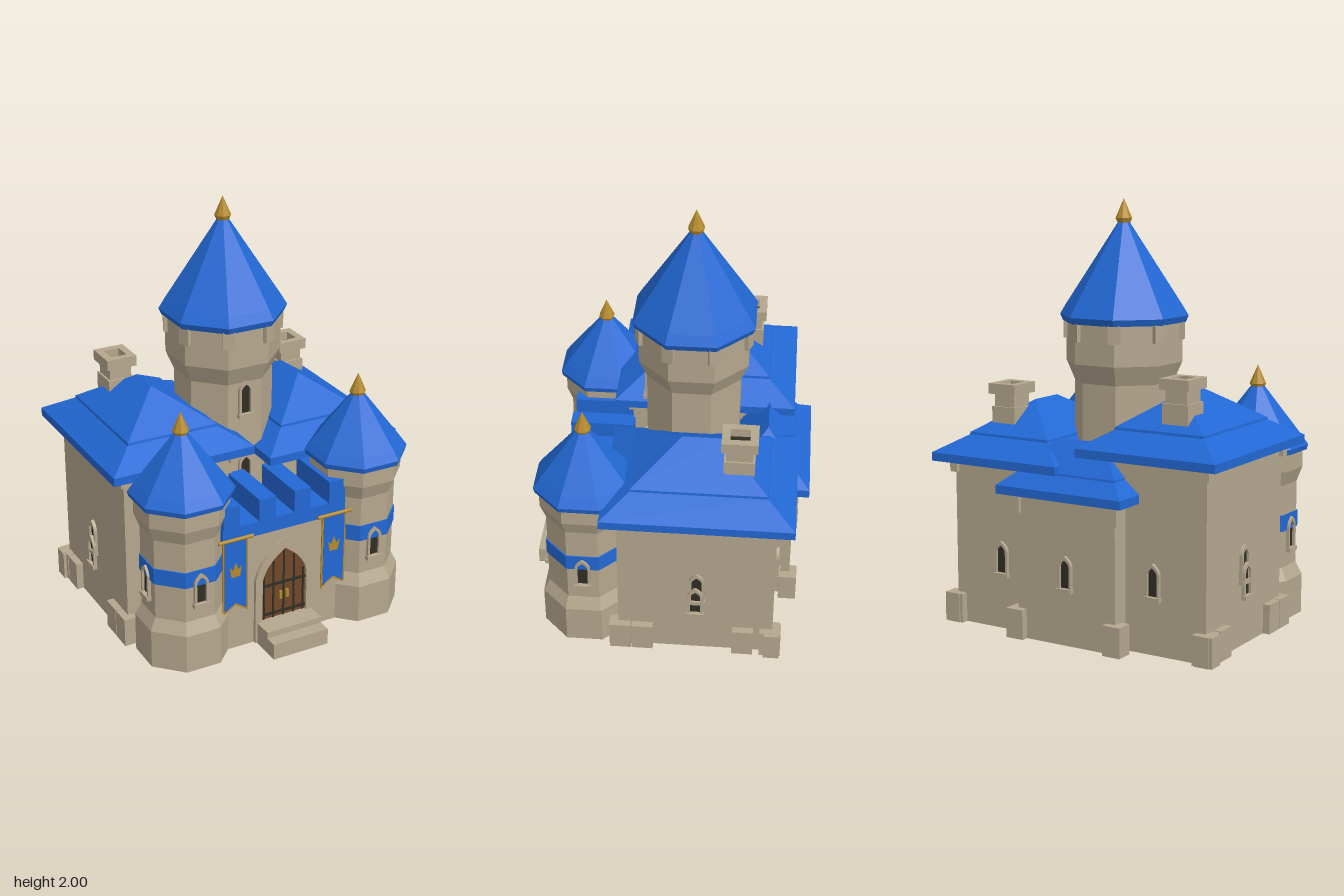
import * as THREE from 'three';

const mat = (name, color) => {
  const m = new THREE.MeshStandardMaterial({ color });
  m.name = name;
  return m;
};

export function createModel() {
  const root = new THREE.Group();
  root.name = 'castle';
  const stone = mat('stone', 0xb5a78e), blue = mat('blueRoof', 0x2268d4), wood = mat('wood', 0x70482a),
    dark = mat('darkOpening', 0x302e24), gold = mat('gold', 0xb58a2c);

  const add = (name, geo, m, parent = root) => {
    const mesh = new THREE.Mesh(geo, m);
    mesh.name = name;
    parent.add(mesh);
    return mesh;
  };
  const flat = (g) => {
    const f = g.index ? g.toNonIndexed() : g;
    f.computeVertexNormals();
    return f;
  };
  // box given by its limits
  const box = (name, x0, x1, y0, y1, z0, z1, m = stone, parent = root) =>
    add(name, new THREE.BoxGeometry(x1 - x0, y1 - y0, z1 - z0)
      .translate((x0 + x1) / 2, (y0 + y1) / 2, (z0 + z1) / 2), m, parent);
  // octagonal solid with flat sides facing the axes; profile is [apothem, y] from the bottom up
  const octagon = (name, profile, x, z, m) => {
    const k = 1 / Math.cos(Math.PI / 8);
    const pts = profile.map(([r, y]) => new THREE.Vector2(r * k, y));
    return add(name, flat(new THREE.LatheGeometry(pts, 8, Math.PI / 8)).translate(x, 0, z), m);
  };
  // hipped roof from rectangles inset step by step; steps are [inset, y]
  const hipRoof = (name, x0, x1, z0, z1, steps) => {
    const pos = [];
    const rings = steps.map(([i, y]) => [
      [x0 + i, y, z1 - i], [x1 - i, y, z1 - i], [x1 - i, y, z0 + i], [x0 + i, y, z0 + i]]);
    const quad = (a, b, c, d) => pos.push(...a, ...b, ...c, ...a, ...c, ...d);
    for (let r = 0; r + 1 < rings.length; r++)
      for (let s = 0; s < 4; s++) {
        const t = (s + 1) % 4;
        quad(rings[r][s], rings[r][t], rings[r + 1][t], rings[r + 1][s]);
      }
    const [a, b, c, d] = rings[0];
    quad(d, c, b, a);
    const g = new THREE.BufferGeometry();
    g.setAttribute('position', new THREE.Float32BufferAttribute(pos, 3));
    g.computeVertexNormals();
    return add(name, g, blue);
  };
  // pointed arch outline, half width w, from y0 to the tip y1
  const arch = (w, y0, y1, Kind = THREE.Shape) => {
    const spring = y1 - w * 1.25, s = new Kind();
    s.moveTo(-w, y0);
    s.lineTo(w, y0);
    s.lineTo(w, spring);
    s.quadraticCurveTo(w * 0.85, spring + w * 0.7, 0, y1);
    s.quadraticCurveTo(-w * 0.85, spring + w * 0.7, -w, spring);
    s.closePath();
    return s;
  };
  const extrude = (shape, depth, z = 0) =>
    new THREE.ExtrudeGeometry(shape, { depth, bevelEnabled: false, curveSegments: 5 }).translate(0, 0, z);

  const windowAt = (x, y, z, turn = 0, h = 0.17) => {
    const g = new THREE.Group();
    g.name = 'window';
    const frame = arch(0.036, 0, h);
    frame.holes.push(arch(0.024, 0.02, h - 0.018, THREE.Path));
    add('windowFrame', extrude(frame, 0.016), stone, g);
    add('windowPane', extrude(arch(0.024, 0.02, h - 0.018), 0.004), dark, g);
    box('windowSill', -0.04, 0.04, 0, 0.02, 0, 0.024, stone, g);
    g.position.set(x, y, z);
    g.rotation.y = turn;
    root.add(g);
  };
  const finial = (x, y, z) => octagon('finial',
    [[0, y], [0.028, y], [0.036, y + 0.02], [0.018, y + 0.065], [0, y + 0.11]], x, z, gold);

  // wings
  for (const w of [
    { s: -1, x0: -0.67, x1: -0.115, z0: -0.51, z1: 0.2, top: 0.87, half: 0.355, rise: 0.28, rx: [-0.75, -0.04], rz: [-0.585, 0.28] },
    { s: 1, x0: 0.125, x1: 0.67, z0: -0.53, z1: 0.2, top: 0.78, half: 0.35, rise: 0.275, rx: [0.05, 0.75], rz: [-0.61, 0.27] }]) {
    box('wingWall', w.x0, w.x1, 0, w.top + 0.02, w.z0, w.z1);
    const t = w.top;
    hipRoof('wingRoof', ...w.rx, ...w.rz,
      [[0, t], [0, t + 0.04], [0.128, t + 0.118], [0.13, t + 0.13], [w.half, t + w.rise]]);
    // corner brackets under the eaves
    for (const z of [w.z0, w.z1])
      for (const x of [w.x0, w.x1])
        box('eaveBracket', x - 0.02, x + 0.02, t - 0.055, t, z - 0.02, z + 0.02);
    // foundation blocks
    const ex = w.s * 0.67;
    for (const z of [0.19, 0.085, -0.39, w.z0 + 0.01])
      box('foundationBlock', ex - 0.035, ex + 0.035, 0, 0.14, z - 0.05, z + 0.05);
    box('backCornerBlock', ex - 0.05, ex + 0.05, 0, 0.139, w.z0 - 0.035, w.z0 + 0.04);
    // side windows, one overlapping the other, and a back window
    windowAt(ex, 0.29, -0.17, w.s * Math.PI / 2, 0.18);
    windowAt(ex + w.s * 0.01, 0.22, -0.165, w.s * Math.PI / 2, 0.17);
    windowAt(w.s * 0.405, 0.25, w.z0, Math.PI);
    // chimney
    const cx = w.s < 0 ? -0.455 : 0.475, cz = -0.345, cy = t + 0.36;
    box('chimneyShaft', cx - 0.055, cx + 0.055, t + 0.1, cy - 0.045, cz - 0.06, cz + 0.06);
    box('chimneyBase', cx - 0.065, cx + 0.065, t + 0.1, t + 0.25, cz - 0.07, cz + 0.07);
    const sq = (K, a, b) => new K([[-a, -b], [a, -b], [a, b], [-a, b]].map((p) => new THREE.Vector2(...p)));
    const cap = sq(THREE.Shape, 0.075, 0.082);
    cap.holes.push(sq(THREE.Path, 0.039, 0.045));
    add('chimneyCap', extrude(cap, 0.05).rotateX(-Math.PI / 2).translate(cx, cy - 0.05, cz), stone);
    box('chimneyOpening', cx - 0.04, cx + 0.04, cy - 0.046, cy - 0.041, cz - 0.046, cz + 0.046, dark);
  }

  // rear annex
  box('annexWall', -0.26, 0.265, 0, 0.7, -0.6, -0.25);
  hipRoof('annexRoof', -0.33, 0.335, -0.67, -0.26,
    [[0, 0.68], [0, 0.72], [0.073, 0.78], [0.075, 0.79], [0.205, 0.925]]);
  for (const x of [-0.26, 0.265]) {
    box('annexBracket', x - 0.02, x + 0.02, 0.59, 0.68, -0.62, -0.56);
    box('annexBlock', x - 0.045, x + 0.045, 0, 0.14, -0.635, -0.55);
  }
  windowAt(0, 0.25, -0.6, Math.PI);

  // central tower
  const tz = -0.107;
  octagon('mainTower', [[0, 0], [0.217, 0], [0.217, 1.16], [0.253, 1.25], [0.253, 1.45], [0, 1.45]], 0, tz, stone);
  octagon('mainTowerRoof', [[0, 1.435], [0.268, 1.435], [0.28, 1.465], [0.255, 1.51], [0.014, 1.91], [0, 1.91]], 0, tz, blue);
  finial(0, 1.89, tz);
  for (let i = 0; i < 8; i++) {
    const a = (i + 0.5) * Math.PI / 4;
    const c = box('towerCorbel', -0.028, 0.028, 1.355, 1.44, 0.235, 0.282);
    c.rotation.y = a;
    c.position.z = tz;
  }
  windowAt(0, 0.985, tz + 0.217, 0, 0.185);
  windowAt(0, 0.61, tz + 0.217, 0, 0.185);

  // front towers
  for (const s of [-1, 1]) {
    const x = s * 0.46, z = 0.365;
    octagon('frontTower', [[0, 0], [0.207, 0], [0.207, 0.19], [0.178, 0.25], [0.178, 0.65],
      [0.202, 0.72], [0.202, 0.82], [0, 0.82]], x, z, stone);
    octagon('frontTowerBand', [[0.17, 0.428], [0.184, 0.428], [0.184, 0.506], [0.17, 0.506]], x, z, blue);
    octagon('frontTowerRoof', [[0, 0.805], [0.22, 0.805], [0.226, 0.83], [0.2, 0.87], [0.014, 1.13], [0, 1.13]], x, z, blue);
    finial(x, 1.1, z);
    windowAt(x, 0.32, z + 0.179);
    windowAt(x + s * 0.179, 0.32, z, s * Math.PI / 2);
  }

  // gatehouse
  box('gateWall', -0.31, 0.31, 0, 0.58, 0.19, 0.49);
  box('gateCornice', -0.325, 0.325, 0.575, 0.645, 0.19, 0.5, blue);
  for (const x of [-0.278, -0.092, 0.092, 0.278])
    box('merlon', x - 0.043, x + 0.043, 0.64, 0.755, 0.192, 0.502, blue);
  const frame = arch(0.155, 0, 0.53);
  frame.holes.push(arch(0.118, 0.1, 0.475, THREE.Path));
  add('gateArch', extrude(frame, 0.02, 0.488), stone);
  add('gateDoor', extrude(arch(0.118, 0.1, 0.475), 0.005, 0.489), wood);
  for (const [x, top] of [[-0.105, 0.34], [-0.055, 0.425], [0, 0.465], [0.055, 0.425], [0.105, 0.34]])
    box('doorBar', x - 0.004, x + 0.004, 0.11, top, 0.493, 0.499, dark);
  for (const y of [0.135, 0.29])
    box('doorStrap', -0.117, 0.117, y - 0.006, y + 0.006, 0.493, 0.501, dark);
  for (const x of [-0.017, 0.017])
    box('doorHandle', x - 0.007, x + 0.007, 0.205, 0.245, 0.494, 0.506, gold);
  box('upperStep', -0.145, 0.145, 0, 0.11, 0.48, 0.605);
  box('lowerStep', -0.145, 0.145, 0, 0.08, 0.48, 0.667);

  // banners with gold trim, rod and crown
  const bannerShape = (w, top, low, notch) => new THREE.Shape(
    [[-w, top], [-w, low], [0, notch], [w, low], [w, top]].map((p) => new THREE.Vector2(...p)));
  const crown = new THREE.Shape([[-0.022, 0.395], [0.022, 0.395], [0.032, 0.45], [0.014, 0.43], [0, 0.47],
    [-0.014, 0.43], [-0.032, 0.45]].map((p) => new THREE.Vector2(...p)));
  for (const s of [-1, 1]) {
    const g = new THREE.Group();
    g.name = 'banner';
    add('bannerTrim', extrude(bannerShape(0.065, 0.585, 0.2, 0.243), 0.006, 0.502), gold, g);
    add('bannerCloth', extrude(bannerShape(0.056, 0.58, 0.216, 0.255), 0.004, 0.506), blue, g);
    add('crownEmblem', extrude(crown, 0.003, 0.509), gold, g);
    add('bannerRod', new THREE.CylinderGeometry(0.009, 0.009, 0.18, 8).rotateZ(Math.PI / 2)
      .translate(0, 0.588, 0.51), gold, g);
    g.position.x = s * 0.262;
    root.add(g);
  }
  return root;
}
